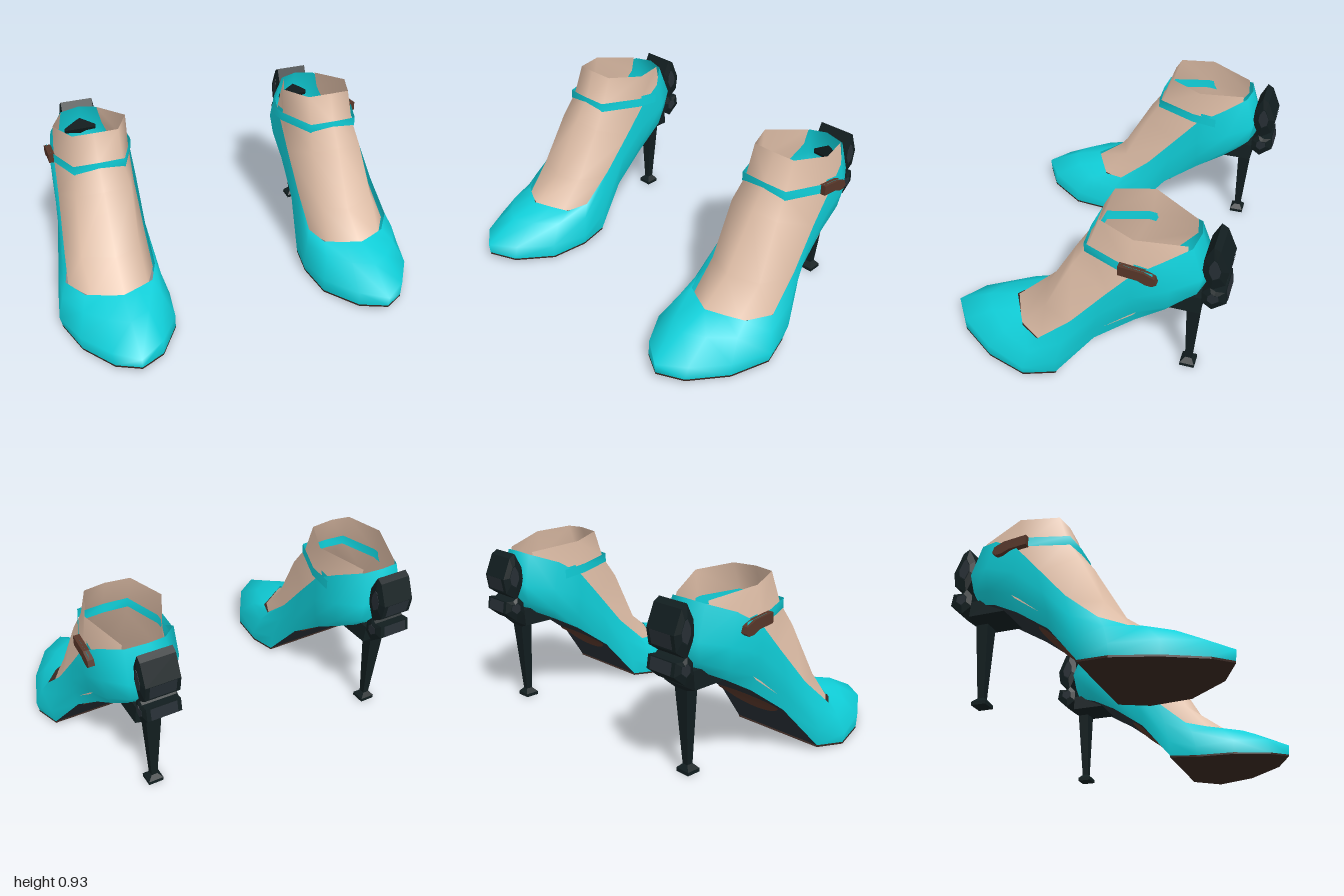
import * as THREE from 'three';

const paint = (name, color) => new THREE.MeshStandardMaterial({ name, color, side: THREE.DoubleSide });
const teal = paint('teal leather', 0x10d0da);
const skin = paint('skin', 0xe0bfa8);
const black = paint('black heel', 0x121e20);
const slate = paint('slate', 0x272f35);
const darkBrown = paint('dark brown sole', 0x382721);
const brown = paint('brown', 0x573629);

// Upper of the shoe from toe to heel: [z, y, outer x, inner x] for each level
const bottomRow = [
  [.71, .045, .68, .68], [.63, .025, .80, .55], [.44, .01, .925, .43], [.23, .01, .99, .41], [.07, .03, .95, .43],
  [-.11, .25, .87, .47], [-.30, .39, .83, .49], [-.44, .47, .80, .52], [-.54, .52, .74, .58], [-.57, .53, .66, .66]];
const lowRow = [
  [.715, .10, .68, .68], [.62, .10, .81, .545], [.44, .08, .93, .43], [.23, .06, 1, .40], [.06, .12, .97, .43],
  [-.11, .33, .89, .455], [-.30, .47, .865, .465], [-.46, .53, .84, .48], [-.58, .58, .77, .55], [-.61, .58, .66, .66]];
const highRow = [
  [.53, .19, .68, .68], [.47, .185, .785, .575], [.36, .175, .89, .475], [.20, .16, .97, .43], [.03, .25, .95, .45],
  [-.14, .44, .90, .45], [-.30, .58, .885, .45], [-.47, .65, .86, .46], [-.60, .68, .78, .54], [-.615, .72, .66, .66]];
const topRow = [
  [.37, .235, .68, .68], [.32, .22, .77, .59], [.27, .21, .86, .50], [.16, .23, .94, .455], [-.01, .38, .92, .455],
  [-.18, .58, .895, .45], [-.30, .72, .885, .45], [-.43, .80, .85, .465], [-.55, .845, .77, .565], [-.57, .855, .66, .66]];

const outer = (row, dy = 0) => row.map(([z, y, x]) => [x, y + dy, z]);
const inner = (row, dy = 0) => row.map(([z, y, , x]) => [x, y + dy, z]);
const around = row => [...outer(row), ...inner(row).slice(1, -1).reverse()];

// Skins a list of equal-length rings of [x, y, z]; side = -1 mirrors the part
function loft(rings, side, { closed = false, caps = false, flat = false } = {}) {
  const n = rings[0].length, pos = [], idx = [];
  const add = p => pos.push(p[0] * side, p[1], p[2]);
  const tri = (a, b, c) => (side > 0 ? idx.push(a, b, c) : idx.push(a, c, b));
  rings.flat().forEach(add);
  for (let r = 0; r < rings.length - 1; r++) {
    for (let i = 0; i < (closed ? n : n - 1); i++) {
      const a = r * n + i, b = r * n + (i + 1) % n;
      tri(a, b, a + n);
      tri(b, b + n, a + n);
    }
  }
  if (caps) {
    [0, rings.length - 1].forEach(r => {
      const c = pos.length / 3;
      add([0, 1, 2].map(k => rings[r].reduce((sum, p) => sum + p[k], 0) / n));
      for (let i = 0; i < n; i++) {
        const a = r * n + i, b = r * n + (i + 1) % n;
        if (r) tri(a, b, c); else tri(b, a, c);
      }
    });
  }
  let g = new THREE.BufferGeometry();
  g.setAttribute('position', new THREE.Float32BufferAttribute(pos, 3));
  g.setIndex(idx);
  if (flat) g = g.toNonIndexed();
  g.computeVertexNormals();
  return g;
}

// Height of the arch underside at a given z
function archHeight(z) {
  const i = bottomRow.findIndex(p => p[0] <= z), [a, b] = [bottomRow[i - 1], bottomRow[i]];
  return a[1] + (b[1] - a[1]) * (a[0] - z) / (a[0] - b[0]);
}

// One ring of the foot: [z, y, outer x, inner x] for back, side, front corner, then front centre [z, y]
function footRing(back, sidePt, corner, centre) {
  const half = [back, sidePt, corner];
  return [...outer(half), [.67, centre[1], centre[0]], ...inner(half).reverse()];
}

function createShoe(side) {
  const shoe = new THREE.Group();
  shoe.name = side > 0 ? 'leftShoe' : 'rightShoe';
  const part = (name, material, rings, options) => {
    const mesh = new THREE.Mesh(loft(rings, side, options), material);
    mesh.name = name;
    shoe.add(mesh);
  };

  part('upper', teal, [bottomRow, lowRow, highRow, topRow].map(around), { closed: true });

  // Front sole with a thin edge, then the arch behind it
  const front = bottomRow.slice(0, 5), rear = bottomRow.slice(4);
  part('sole', darkBrown, [outer(front), outer(front, -.01), inner(front, -.01), inner(front)], { flat: true });
  part('arch', slate, [outer(rear), inner(rear)], { flat: true });

  // Oval patch, on both faces of the arch
  [-.008, .008].forEach(dy => {
    const rows = [];
    for (let i = 0; i <= 12; i++) {
      const t = -Math.cos(Math.PI * i / 12), z = -.14 - .075 * t, w = .185 * Math.sqrt(1 - t * t);
      rows.push([z, archHeight(z) + dy, .67 + w, .67 - w]);
    }
    part('archPatch', brown, [outer(rows), inner(rows)]);
  });

  // Foot and ankle, open at the back
  part('foot', skin, [
    footRing([-.53, .855, .77, .57], [-.30, .90, .85, .46], [-.12, .92, .78, .54], [-.11, .925]),
    footRing([-.53, .76, .79, .55], [-.28, .74, .865, .46], [-.065, .76, .79, .54], [-.055, .77]),
    footRing([-.45, .62, .84, .48], [-.20, .55, .875, .46], [.01, .64, .81, .52], [.03, .65]),
    footRing([-.30, .45, .86, .48], [0, .35, .905, .465], [.15, .36, .84, .53], [.20, .35]),
    footRing([-.10, .30, .88, .475], [.15, .20, .925, .465], [.29, .20, .83, .53], [.365, .225])]);

  // Ankle strap, with its lining
  const strap = [[.885, .73, -.40], [.882, .745, -.27], [.80, .758, -.05], [.67, .76, -.043],
    [.53, .758, -.05], [.447, .745, -.27], [.447, .73, -.40]];
  const band = (scale, dy) => strap.map(([x, y, z]) => [.665 + (x - .665) * scale, y + dy, -.3 + (z + .3) * scale]);
  part('strap', teal, [band(1, .025), band(1, -.025)]);
  part('strapLining', teal, [band(.88, .025), band(.88, -.025)]);

  // Strap tab on the outer side
  const tab = [[-.24, .772], [-.36, .758], [-.41, .735], [-.42, .705], [-.40, .69], [-.37, .692], [-.33, .71], [-.24, .72]];
  part('strapTab', brown, [.865, .897].map(x => tab.map(([z, y]) => [x, y, z])), { closed: true, caps: true, flat: true });

  // Stiletto heel: [y, front z, back z, half width] from tip to seat
  const heel = [[0, -.505, -.58, .04], [.018, -.505, -.58, .04], [.042, -.528, -.562, .016],
    [.43, -.525, -.59, .04], [.452, -.385, -.60, .10], [.54, -.46, -.60, .09]];
  part('heel', black, heel.map(([y, f, b, w]) =>
    [[.662 - w, y, f], [.662 + w, y, f], [.662 + w, y, b], [.662 - w, y, b]]), { closed: true, caps: true, flat: true });

  // Two faceted ornaments on the back: [z, y] outlines, with lighter end and back panels
  const ornaments = {
    upperOrnament: [[-.64, .86], [-.60, .78], [-.595, .70], [-.64, .605], [-.705, .65], [-.718, .73], [-.672, .84]],
    lowerOrnament: [[-.635, .62], [-.60, .58], [-.60, .52], [-.65, .485], [-.718, .54], [-.708, .605], [-.665, .60]],
  };
  for (const [name, outline] of Object.entries(ornaments)) {
    const cz = outline.reduce((s, p) => s + p[0], 0) / outline.length;
    const cy = outline.reduce((s, p) => s + p[1], 0) / outline.length;
    const ring = (dx, k) => outline.map(([z, y]) => [.662 + dx, cy + (y - cy) * k, cz + (z - cz) * k]);
    part(name, black, [ring(-.098, .5), ring(-.088, 1), ring(.088, 1), ring(.098, .5)], { closed: true, caps: true, flat: true });
    [-1, 1].forEach(d => part(name + 'EndPanel', slate, [ring(d * .097, .45), ring(d * .1, .45)],
      { closed: true, caps: true, flat: true }));
    const backEdge = ring(0, 1).slice(3, 6).map(([, y, z]) => [y * .9 + cy * .1, z - .003]);
    part(name + 'BackPanel', slate, [.595, .73].map(x => backEdge.map(([y, z]) => [x, y, z])), { flat: true });
  }
  return shoe;
}

export function createModel() {
  const model = new THREE.Group();
  model.name = 'pairOfHighHeels';
  model.add(createShoe(1), createShoe(-1));
  return model;
}
